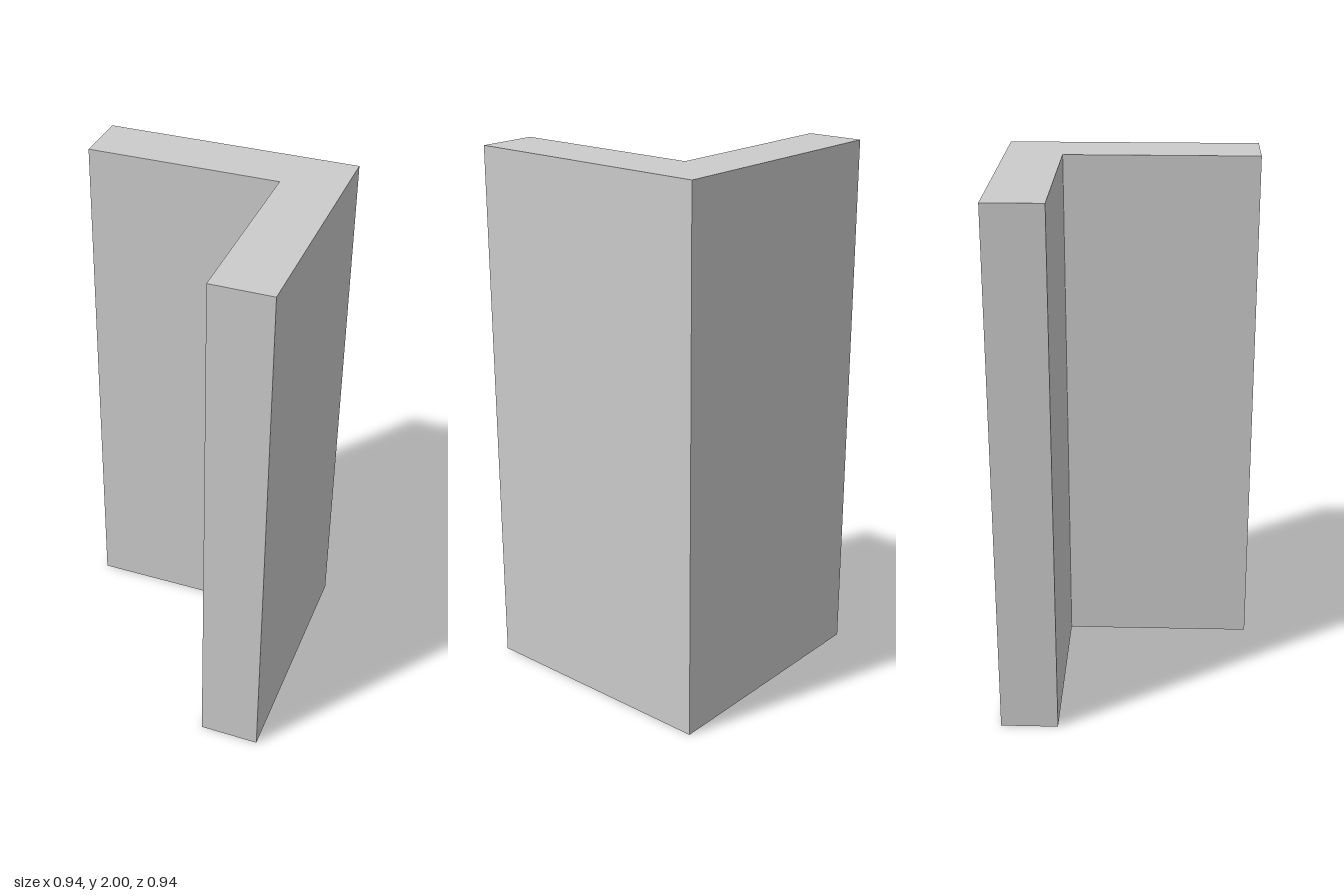
import * as THREE from 'three';

export function createModel() {
  const group = new THREE.Group();
  group.name = 'cornerPillar';

  // L-shaped plan as [x, z] corners
  const half = 0.47, innerX = 0.246, innerZ = -0.256, height = 2;
  const plan = [
    [-half, innerZ], [innerX, innerZ], [innerX, half],
    [half, half], [half, -half], [-half, -half],
  ];
  const shape = new THREE.Shape(plan.map(([x, z]) => new THREE.Vector2(x, -z)));

  // Extrude the plan and stand it upright
  const geometry = new THREE.ExtrudeGeometry(shape, { depth: height, bevelEnabled: false });
  geometry.rotateX(-Math.PI / 2);

  const walls = new THREE.Mesh(
    geometry,
    new THREE.MeshStandardMaterial({ color: 0xcccccc, flatShading: true })
  );
  walls.name = 'cornerWalls';
  group.add(walls);
  return group;
}
